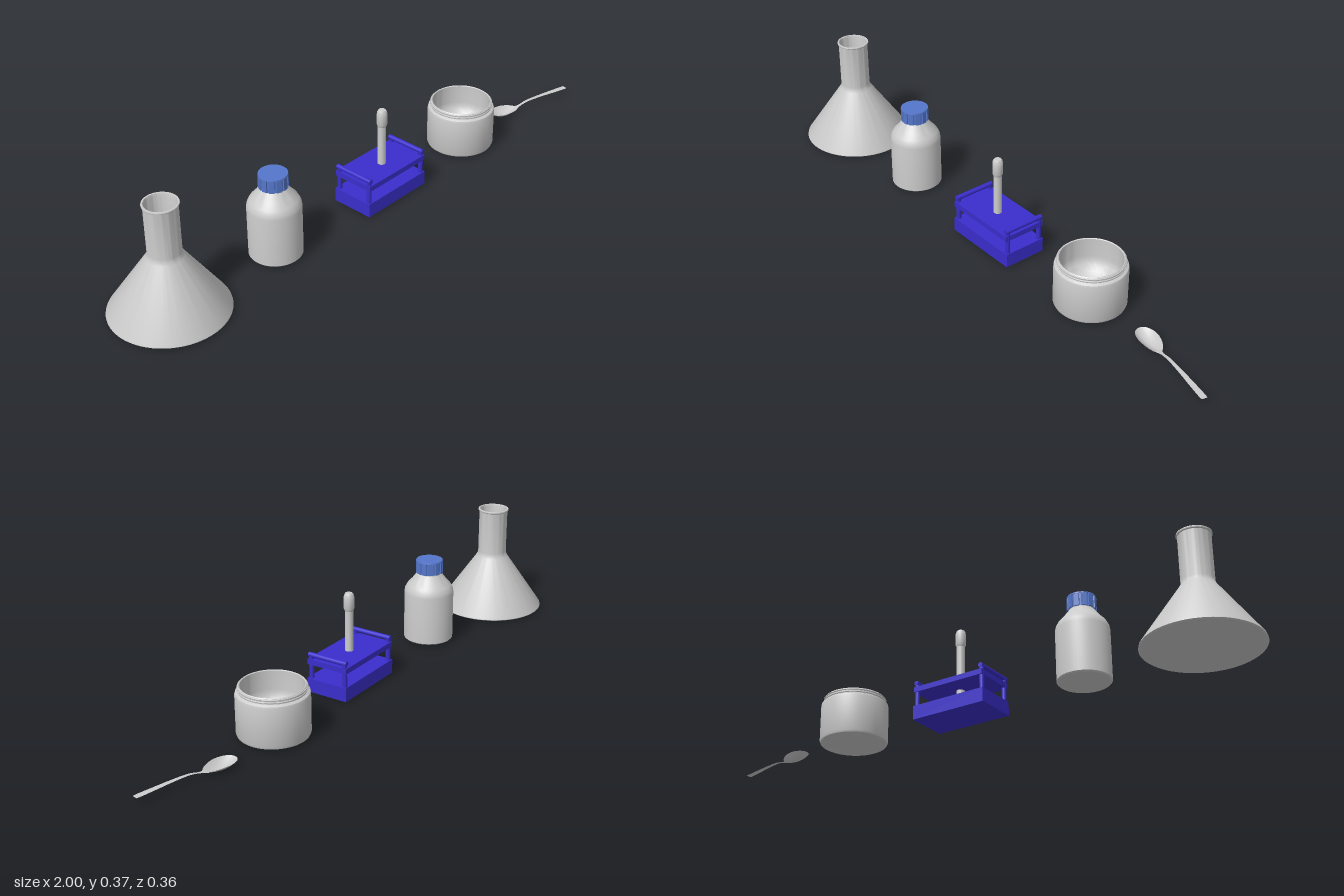
import * as THREE from 'three';
import { toCreasedNormals } from 'three/addons/utils/BufferGeometryUtils.js';
import { ParametricGeometry } from 'three/addons/geometries/ParametricGeometry.js';

const grey = new THREE.MeshStandardMaterial({ color: 0xcccccc, side: THREE.DoubleSide });
const rackBlue = new THREE.MeshStandardMaterial({ color: 0x3a2ecc });
const capBlue = new THREE.MeshStandardMaterial({ color: 0x5577cc });

function add(parent, name, geometry, material, x = 0, y = 0, z = 0) {
  const mesh = new THREE.Mesh(geometry, material);
  mesh.name = name;
  mesh.position.set(x, y, z);
  parent.add(mesh);
  return mesh;
}

function group(parent, name, x, z) {
  const g = new THREE.Group();
  g.name = name;
  g.position.set(x, 0, z);
  parent.add(g);
  return g;
}

// Profile is listed as [radius, height], outside from the bottom up, then inside going down
function lathe(profile, segments = 48) {
  const points = profile.map(([r, y]) => new THREE.Vector2(r, y));
  return toCreasedNormals(new THREE.LatheGeometry(points, segments), 0.5);
}

function buildFlask(parent) {
  const flask = group(parent, 'conicalFlask', -0.818, 0);
  add(flask, 'flaskBody', lathe([
    [0, 0.005], [0.178, 0.005], [0.182, 0.008], [0.181, 0.012],
    [0.056, 0.193], [0.051, 0.203], [0.05, 0.212], [0.05, 0.362],
    [0.053, 0.364], [0.054, 0.367], [0.053, 0.37], [0.048, 0.37],
    [0.046, 0.362], [0.046, 0.205], [0.174, 0.014], [0, 0.012],
  ], 64), grey);
}

function buildBottle(parent) {
  const bottle = group(parent, 'cappedBottle', -0.419, 0.026);
  add(bottle, 'bottleBody', lathe([
    [0, 0.007], [0.08, 0.007], [0.084, 0.011], [0.084, 0.175], [0.082, 0.187],
    [0.074, 0.202], [0.06, 0.217], [0.049, 0.232], [0.041, 0.242], [0.041, 0.265], [0, 0.265],
  ], 40), grey);

  // Screw cap with shallow grip grooves
  const outline = new THREE.Shape();
  const ribs = 12;
  for (let i = 0; i < ribs; i++) {
    [[0, 0.046], [0.65, 0.046], [0.7, 0.042], [0.95, 0.042]].forEach(([t, r], k) => {
      const a = ((i + t) / ribs) * Math.PI * 2;
      outline[i + k === 0 ? 'moveTo' : 'lineTo'](r * Math.cos(a), r * Math.sin(a));
    });
  }
  const skirt = new THREE.ExtrudeGeometry(outline, { depth: 0.041, bevelEnabled: false }).rotateX(-Math.PI / 2);
  add(bottle, 'capSkirt', skirt, capBlue, 0, 0.245, 0);
  add(bottle, 'capTop', new THREE.CylinderGeometry(0.045, 0.046, 0.004, 36), capBlue, 0, 0.288, 0);
}

function buildRack(parent) {
  const rack = group(parent, 'testTubeRack', 0.041, 0.039);
  add(rack, 'rackBase', new THREE.BoxGeometry(0.268, 0.047, 0.147), rackBlue, 0, 0.03, 0);
  add(rack, 'rackShelf', new THREE.BoxGeometry(0.262, 0.018, 0.147), rackBlue, 0, 0.109, 0);

  // End frames: two posts joined by a rail
  for (const sx of [-1, 1]) {
    for (const sz of [-1, 1]) {
      add(rack, 'rackPost', new THREE.CylinderGeometry(0.008, 0.008, 0.09, 16), rackBlue, sx * 0.124, 0.09, sz * 0.063);
    }
    const rail = new THREE.CylinderGeometry(0.008, 0.008, 0.143, 16).rotateX(Math.PI / 2);
    add(rack, 'rackEndRail', rail, rackBlue, sx * 0.124, 0.132, 0);
  }

  // Tube with a round-topped stopper
  add(rack, 'testTube', lathe([
    [0, 0.045], [0.0135, 0.045], [0.0135, 0.262], [0, 0.262],
  ], 24), grey, 0.002, 0, 0.003);
  add(rack, 'tubeStopper', lathe([
    [0, 0.254], [0.0135, 0.254], [0.0168, 0.262], [0.0168, 0.3],
    [0.0155, 0.307], [0.012, 0.313], [0.006, 0.3155], [0, 0.316],
  ], 24), grey, 0.002, 0, 0.003);
}

function buildJar(parent) {
  const jar = group(parent, 'openJar', 0.465, 0.026);
  // Inside, a short straight wall runs into a shallow bowl
  const bowl = [];
  for (let i = 0; i <= 12; i++) {
    const a = (i / 12) * Math.PI / 2;
    bowl.push([0.097 * Math.cos(a), 0.105 - 0.07 * Math.sin(a)]);
  }
  add(jar, 'jarBody', lathe([
    [0, 0.006], [0.104, 0.006], [0.11, 0.009], [0.113, 0.016],
    [0.113, 0.138], [0.111, 0.145], [0.105, 0.149],
    [0.103, 0.15], [0.103, 0.166], [0.1, 0.169], [0.097, 0.167], ...bowl,
  ], 64), grey);

  // Thread rings around the neck
  for (const y of [0.155, 0.163]) {
    add(jar, 'neckThread', new THREE.TorusGeometry(0.103, 0.0022, 8, 64).rotateX(Math.PI / 2), grey, 0, y, 0);
  }
}

function buildSpoon(parent) {
  const spoon = group(parent, 'spoon', 0.663, 0.011);
  const curve = (points) => {
    const c = new THREE.CatmullRomCurve3(points.map((p) => new THREE.Vector3(...p)));
    return (t, target) => c.getPoint(t, target);
  };
  // Centre line as [distance, height, half width]
  const handle = curve([
    [0.104, 0.012, 0.012], [0.125, 0.016, 0.0055], [0.16, 0.024, 0.0055],
    [0.22, 0.026, 0.007], [0.28, 0.025, 0.009], [0.335, 0.024, 0.01], [0.345, 0.024, 0.009],
  ]);
  const p = new THREE.Vector3();
  const handleSheet = (u, v, target) => {
    handle(u, p);
    target.set(p.x, p.y, (v * 2 - 1) * p.z);
  };
  // Egg-shaped bowl, deepest in the middle
  const bowlSheet = (u, v, target) => {
    const a = v * Math.PI * 2;
    const x = 0.058 + 0.058 * u * Math.cos(a);
    const z = 0.032 * u * Math.sin(a) * (1 - 0.15 * Math.cos(a));
    target.set(x, 0.021 - 0.07 * (x - 0.01) * u * u * (Math.cos(a) > 0 ? 1 : 0) * Math.cos(a) - 0.02 * (1 - u * u), z);
  };
  add(spoon, 'spoonBowl', new ParametricGeometry(bowlSheet, 10, 40), grey);
  add(spoon, 'spoonHandle', new ParametricGeometry(handleSheet, 30, 4), grey);
  spoon.rotation.y = -0.23;
}

export function createModel() {
  const model = new THREE.Group();
  model.name = 'laboratorySet';
  buildFlask(model);
  buildBottle(model);
  buildRack(model);
  buildJar(model);
  buildSpoon(model);
  return model;
}
